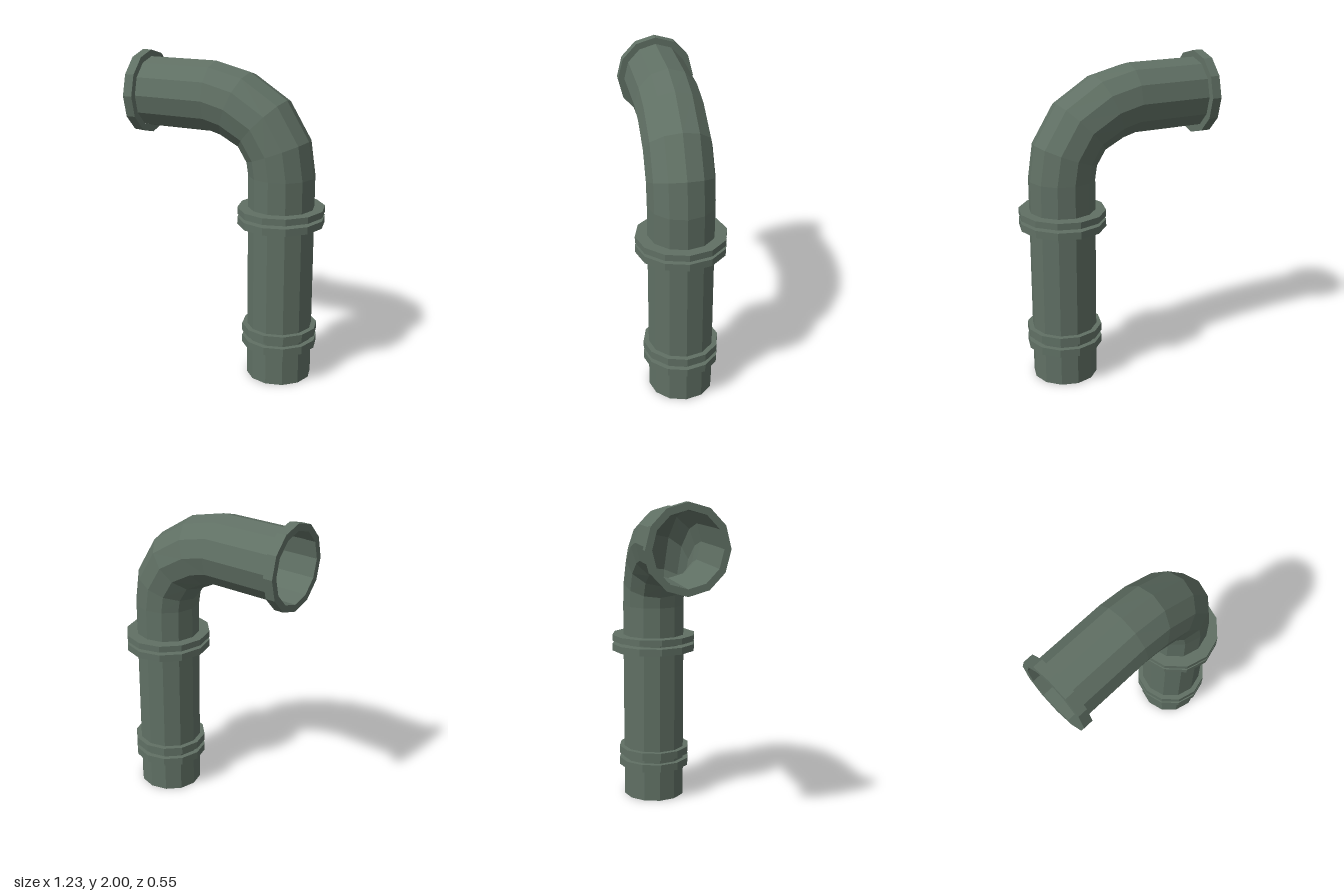
import * as THREE from 'three';

const SIDES = 12;
const PIPE_X = 0.345;

// Faceted ring with a flat rim; walled rings also get an inner bore
function ring(name, inner, y0, y1, sx, sz, walled, material) {
  const points = [[inner, y0], [1, y0], [1, y1], [inner, y1]];
  if (walled) points.push([inner, y0]);
  const geometry = new THREE.LatheGeometry(points.map(([r, y]) => new THREE.Vector2(r, y)), SIDES);
  geometry.scale(sx, 1, sz);
  const mesh = new THREE.Mesh(geometry, material);
  mesh.name = name;
  return mesh;
}

// Open tube through stations [centre x, centre y, half-axis x, half-axis y]
function bentTube(stations, depth) {
  const positions = [];
  const indices = [];
  for (const [cx, cy, hx, hy] of stations) {
    for (let i = 0; i < SIDES; i++) {
      const a = (i / SIDES) * Math.PI * 2;
      positions.push(cx + hx * Math.cos(a), cy + hy * Math.cos(a), depth * Math.sin(a));
    }
  }
  for (let s = 0; s < stations.length - 1; s++) {
    for (let i = 0; i < SIDES; i++) {
      const j = (i + 1) % SIDES;
      const a = s * SIDES + i, b = s * SIDES + j;
      const c = a + SIDES, d = b + SIDES;
      indices.push(a, c, b, b, c, d);
    }
  }
  const geometry = new THREE.BufferGeometry();
  geometry.setAttribute('position', new THREE.Float32BufferAttribute(positions, 3));
  geometry.setIndex(indices);
  const flat = geometry.toNonIndexed();
  flat.computeVertexNormals();
  return flat;
}

export function createModel() {
  const group = new THREE.Group();
  group.name = 'elbowPipe';
  const metal = new THREE.MeshStandardMaterial({
    name: 'grey green metal', color: 0x607064, flatShading: true, side: THREE.DoubleSide,
  });

  // Upright pipe, elbow and horizontal outlet in one thin wall
  const pipe = new THREE.Mesh(bentTube([
    [PIPE_X, 0, 0.203, 0],
    [PIPE_X, 1.055, 0.203, 0],
    [PIPE_X, 1.3, 0.203, 0],
    [0.323, 1.445, 0.192, 0.075],
    [0.225, 1.602, 0.145, 0.152],
    [0.05, 1.705, 0.08, 0.2],
    [-0.1, 1.742, 0, 0.217],
    [-0.557, 1.742, 0, 0.217],
  ], 0.203), metal);
  pipe.name = 'pipe';
  group.add(pipe);

  // Paired collars around the upright pipe
  const collars = [
    ['lowerCollar', 0.21, 0.26, 0.235, 0.236],
    ['lowerCollar', 0.29, 0.34, 0.235, 0.236],
    ['upperCollar', 1.0, 1.045, 0.266, 0.277],
    ['upperCollar', 1.065, 1.105, 0.266, 0.277],
  ];
  for (const [name, y0, y1, sx, sz] of collars) {
    const collar = ring(name, 0.2 / sz, y0, y1, sx, sz, false, metal);
    collar.position.x = PIPE_X;
    group.add(collar);
  }

  // Flange around the open outlet
  const flange = ring('outletFlange', 0.835, 0.555, 0.615, 0.259, 0.243, true, metal);
  flange.rotation.z = Math.PI / 2;
  flange.position.y = 1.741;
  group.add(flange);

  return group;
}
